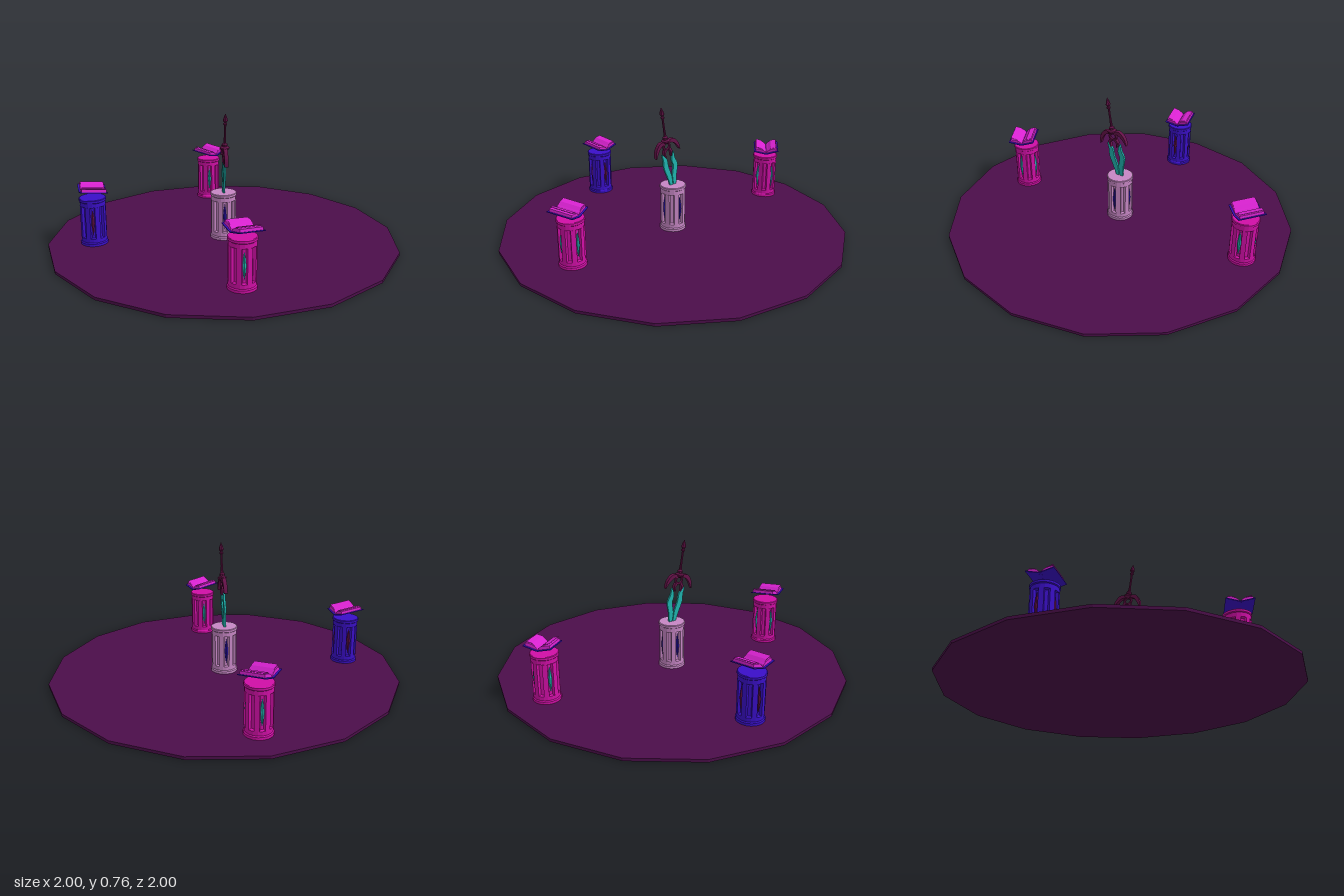
import * as THREE from 'three';

const mat = (name, color, extra = {}) => {
  const m = new THREE.MeshStandardMaterial({ color, ...extra });
  m.name = name;
  return m;
};

export function createModel() {
  const flat = { flatShading: true };
  const M = {
    floor: mat('deep purple', 0x4c0e4a, flat),
    pink: mat('hot pink', 0xd00fa6, flat),
    blue: mat('violet blue', 0x3a0fc8, flat),
    lilac: mat('lilac', 0xc686c4, flat),
    teal: mat('teal', 0x1fb5b0, flat),
    navy: mat('indigo', 0x2812a8, flat),
    plum: mat('plum', 0x641248, flat),
    page: mat('magenta page', 0xd822d0, { flatShading: true, side: THREE.DoubleSide }),
  };
  const root = new THREE.Group();
  const add = (parent, name, geo, material, x = 0, y = 0, z = 0) => {
    const mesh = new THREE.Mesh(geo, material);
    mesh.name = name;
    mesh.position.set(x, y, z);
    parent.add(mesh);
    return mesh;
  };
  const group = (parent, name, x = 0, y = 0, z = 0) => {
    const g = new THREE.Group();
    g.name = name;
    g.position.set(x, y, z);
    parent.add(g);
    return g;
  };
  // Extrudes a (z, y) outline, centred across x
  const slab = (pts, width) => {
    const shape = new THREE.Shape(pts.map(p => new THREE.Vector2(...p)));
    return new THREE.ExtrudeGeometry(shape, { depth: width, bevelEnabled: false })
      .translate(0, 0, -width / 2).rotateY(-Math.PI / 2);
  };
  // Curved blade outline of tapering width along a (z, y) centre line
  const blade = (pts, widths, depth) => {
    const curve = new THREE.SplineCurve(pts.map(p => new THREE.Vector2(...p)));
    const a = [], b = [], n = 12;
    for (let i = 0; i <= n; i++) {
      const t = i / n, p = curve.getPoint(t), d = curve.getTangent(t);
      const k = t * (widths.length - 1), j = Math.min(Math.floor(k), widths.length - 2);
      const w = THREE.MathUtils.lerp(widths[j], widths[j + 1], k - j) / 2;
      a.push([p.x - d.y * w, p.y + d.x * w]);
      b.unshift([p.x + d.y * w, p.y - d.x * w]);
    }
    return slab([...a, ...b], depth);
  };
  const lathe = (pts, sides) =>
    new THREE.LatheGeometry(pts.map(p => new THREE.Vector2(...p)), sides);

  add(root, 'floor', new THREE.CylinderGeometry(1, 1, 0.016, 16), M.floor, 0, 0.008, 0);

  // Fluted pedestals with a spindle set in each main recess
  function pedestal(name, x, z, body, gem) {
    const g = group(root, name, x, 0.016, z);
    add(g, 'pedestalBody', lathe([
      [0, 0], [0.076, 0], [0.076, 0.014], [0.071, 0.02], [0.071, 0.042], [0.056, 0.046],
      [0.056, 0.222], [0.071, 0.226], [0.071, 0.25], [0.076, 0.254], [0.076, 0.266],
      [0.072, 0.269], [0, 0.269],
    ], 20), body);
    for (let i = 0; i < 8; i++) {
      const a = (i + 0.5) * Math.PI / 4;
      const p = add(g, 'pilaster', new THREE.BoxGeometry(0.027, 0.184, 0.016), body,
        Math.sin(a) * 0.063, 0.134, Math.cos(a) * 0.063);
      p.rotation.y = a;
    }
    for (let i = 0; i < 4; i++) {
      const a = i * Math.PI / 2;
      add(g, 'spindle', lathe([[0, -0.075], [0.007, -0.04], [0.011, 0], [0.007, 0.04], [0, 0.075]], 6),
        gem, Math.sin(a) * 0.059, 0.136, Math.cos(a) * 0.059);
    }
  }
  pedestal('frontPedestal', 0, 0.69, M.pink, M.teal);
  pedestal('backPedestal', 0, -0.78, M.pink, M.teal);
  pedestal('rightPedestal', -0.74, 0, M.blue, M.plum);
  pedestal('centrePedestal', 0, 0, M.lilac, M.navy);

  // Open books hovering over the pedestals
  function book(name, x, z, turn) {
    const g = group(root, name, x, 0.316, z);
    g.rotation.set(0.04, turn, -0.1, 'YXZ');
    add(g, 'spine', new THREE.BoxGeometry(0.152, 0.005, 0.016), M.blue);
    for (const side of [0, 1]) {
      const half = group(g, 'bookHalf');
      half.rotation.y = side * Math.PI;
      add(half, 'cover', slab([[0.004, -0.003], [0.076, 0.016], [0.075, 0.021], [0.004, 0.002]], 0.152), M.blue);
      add(half, 'pages', slab([[0, 0.002], [0.068, 0.0195], [0.065, 0.034], [0.045, 0.032],
        [0.022, 0.025], [0.008, 0.015]], 0.134), M.page);
      // Loose leaf lifting from the stack
      add(half, 'looseLeaf', slab([[0.004, 0.01], [0.03, 0.034], [0.062, 0.045 - side * 0.005],
        [0.062, 0.0435 - side * 0.005], [0.03, 0.032]], 0.128), M.page);
    }
  }
  book('frontBook', 0, 0.705, 0.44);
  book('backBook', 0, -0.785, -0.8);
  book('rightBook', -0.738, 0, 0.17);

  // Upturned weapon: twin teal blades planted in the pedestal
  const weapon = group(root, 'weapon');
  add(weapon, 'frontBlade', blade([[0.012, 0.28], [0.028, 0.34], [0.052, 0.4], [0.058, 0.44], [0.08, 0.478]],
    [0.016, 0.03, 0.032, 0.028, 0.004], 0.012), M.teal);
  add(weapon, 'backBlade', blade([[-0.012, 0.28], [-0.008, 0.34], [-0.016, 0.4], [0, 0.44], [0, 0.485]],
    [0.016, 0.03, 0.032, 0.026, 0.004], 0.012), M.teal);

  // Hilt, tilted forward, with its origin at the guard ring
  const hilt = group(weapon, 'hilt', 0, 0.525, 0.047);
  hilt.rotation.x = 0.16;
  const ring = add(hilt, 'guardRing', new THREE.TorusGeometry(0.021, 0.008, 6, 14), M.plum);
  ring.rotation.y = Math.PI / 2;
  for (const s of [1, -1]) {
    const claw = blade([[s * 0.01, 0.024], [s * 0.045, 0.022], [s * 0.072, -0.008], [s * 0.086, -0.048]],
      [0.014, 0.024, 0.018, 0.002], 0.022);
    add(hilt, 'guardClaw', claw, M.plum);
    add(hilt, 'innerSpike', blade([[s * 0.012, -0.016], [s * 0.024, -0.036], [s * 0.018, -0.066]],
      [0.016, 0.012, 0.002], 0.02), M.plum);
  }
  add(hilt, 'grip', lathe([
    [0, 0.015], [0.016, 0.018], [0.026, 0.028], [0.026, 0.036], [0.014, 0.042], [0.016, 0.054],
    [0.008, 0.062], [0.006, 0.1], [0.006, 0.165], [0.011, 0.17], [0.011, 0.177], [0.006, 0.181],
    [0.014, 0.192], [0.01, 0.21], [0, 0.234],
  ], 8), M.plum);
  return root;
}
